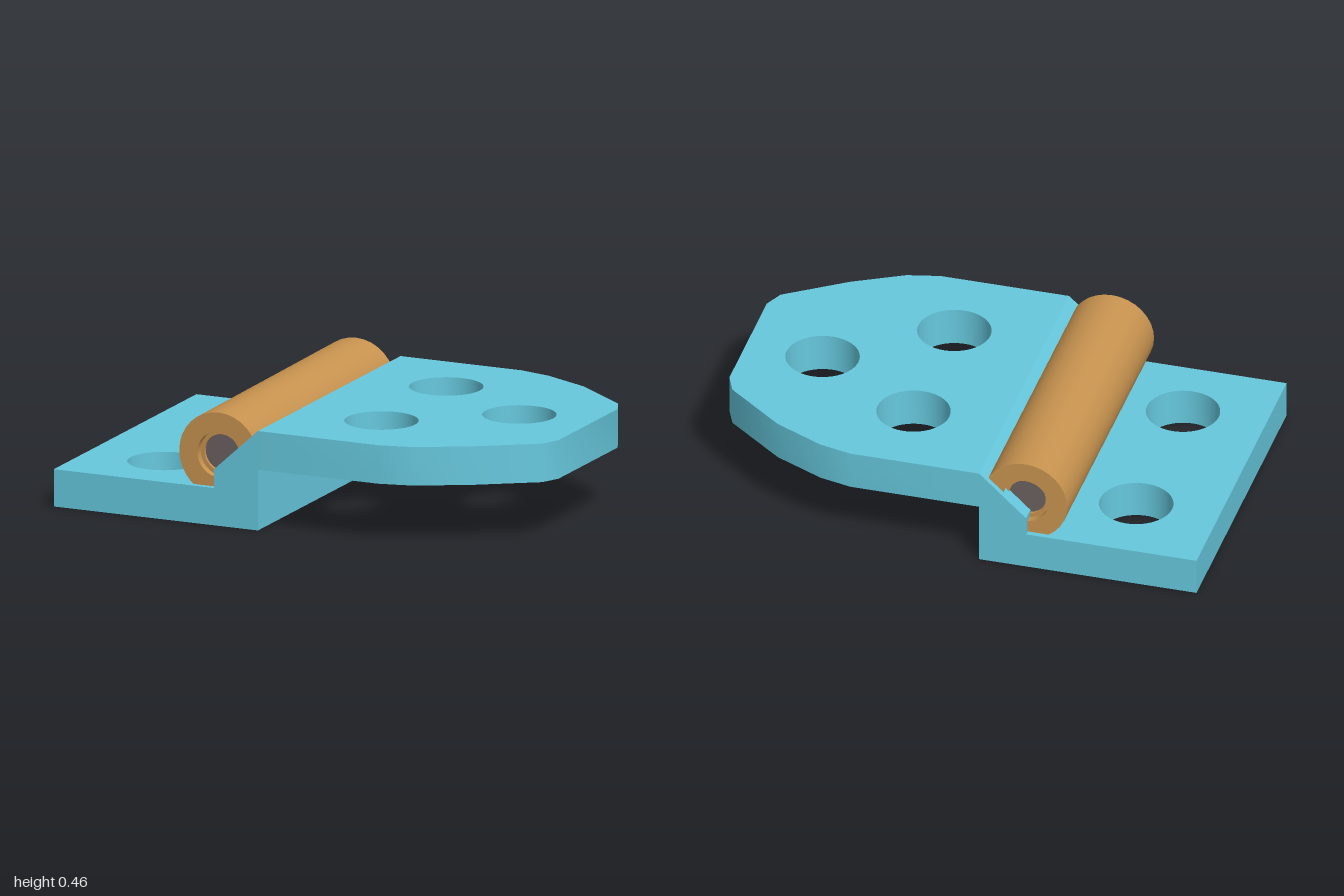
import * as THREE from 'three';
import { toCreasedNormals } from 'three/addons/utils/BufferGeometryUtils.js';

const HALF = 0.65; // half width of both plates

const blue = new THREE.MeshStandardMaterial({ color: 0x66c8dd });
const bronze = new THREE.MeshStandardMaterial({ color: 0xc8934f });
const steel = new THREE.MeshStandardMaterial({ color: 0x6b6060 });

function addMesh(parent, name, geometry, material) {
  const mesh = new THREE.Mesh(toCreasedNormals(geometry, 0.6), material);
  mesh.name = name;
  parent.add(mesh);
  return mesh;
}

const makeShape = (points) => new THREE.Shape(points.map(([x, y]) => new THREE.Vector2(x, y)));

// Horizontal plate with an outline in (x, z) and round screw holes
function plateGeometry(outline, holes, bottom, top) {
  const shape = makeShape(outline);
  for (const [x, z] of holes) {
    shape.holes.push(new THREE.Path().absarc(x, z, 0.145, 0, Math.PI * 2, true));
  }
  const geometry = new THREE.ExtrudeGeometry(shape, { depth: top - bottom, bevelEnabled: false, curveSegments: 40 });
  return geometry.rotateX(Math.PI / 2).translate(0, top, 0);
}

export function createModel() {
  const model = new THREE.Group();
  model.name = 'hinge';

  // Low rectangular leaf
  addMesh(model, 'lowerLeaf', plateGeometry(
    [[-1, -HALF], [-0.31, -HALF], [-0.31, HALF], [-1, HALF]],
    [[-0.665, -0.325], [-0.665, 0.35]], 0, 0.15), blue);

  // Raised leaf with a rounded outer end
  addMesh(model, 'upperLeaf', plateGeometry(
    [[-0.12, -HALF], [0.4, -HALF], [0.53, -0.62], [0.73, -0.525], [0.965, -0.34], [1, -0.26],
      [1, 0.28], [0.965, 0.355], [0.73, 0.515], [0.53, 0.62], [0.4, HALF], [-0.12, HALF]],
    [[0.245, -0.295], [0.245, 0.295], [0.69, -0.02]], 0.245, 0.4), blue);

  // Sloping step joining the two leaves
  const step = makeShape([[-0.31, 0], [-0.12, 0], [-0.12, 0.4], [-0.31, 0.225]]);
  addMesh(model, 'step', new THREE.ExtrudeGeometry(step, { depth: HALF * 2, bevelEnabled: false })
    .translate(0, 0, -HALF), blue);

  // Barrel assembly, very slightly tilted
  const knuckle = new THREE.Group();
  knuckle.name = 'knuckle';
  knuckle.position.set(-0.3, 0.285, 0);
  knuckle.rotation.x = 0.008;
  model.add(knuckle);

  // Hollow barrel with a stepped mouth at each end
  const L = 0.627;
  const profile = [[0.17, -L], [0.17, L], [0.092, L], [0.092, L - 0.03], [0.075, L - 0.03],
    [0.075, 0.03 - L], [0.092, 0.03 - L], [0.092, -L], [0.17, -L]];
  addMesh(knuckle, 'barrel', new THREE.LatheGeometry(
    profile.map(([r, y]) => new THREE.Vector2(r, y)), 32).rotateX(Math.PI / 2), bronze);

  // Pin recessed in the bore
  addMesh(knuckle, 'pin', new THREE.CylinderGeometry(0.074, 0.074, 2 * L - 0.08, 32)
    .rotateX(Math.PI / 2), steel);

  return model;
}
